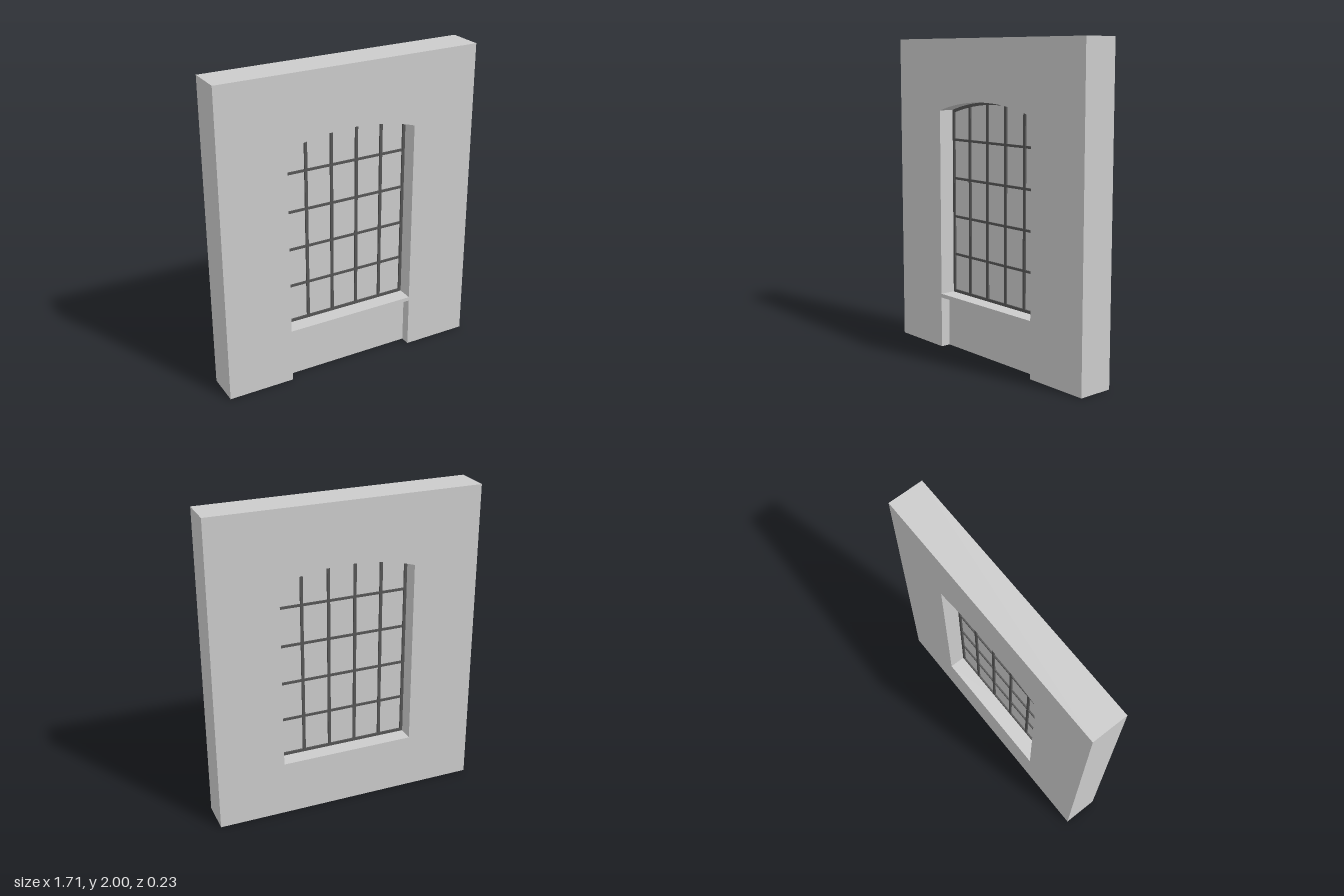
import * as THREE from 'three';
import { toCreasedNormals } from 'three/addons/utils/BufferGeometryUtils.js';

const W = 0.857, H = 2, D = 0.113;            // wall half width, height, half depth
const HW = 0.43, SILL = 0.355, SPRING = 1.55; // window half width, sill top, arch spring
const CROWN = 1.615, BAR = 0.018, BAR_DEPTH = 0.024;
const RISE = CROWN - SPRING;
const R = (HW * HW + RISE * RISE) / (2 * RISE), CY = CROWN - R;

const grey = new THREE.MeshStandardMaterial({ color: 0xcccccc });
const dark = new THREE.MeshStandardMaterial({ color: 0x555555 });

const archY = (x, r = R) => CY + Math.sqrt(r * r - x * x);

// Adds a segmental-arched outline, with an optional inset, to a path
function archOutline(path, bottom, inset = 0) {
  const w = HW - inset, r = R - inset, a = Math.asin(w / r);
  path.moveTo(-w, bottom);
  path.lineTo(w, bottom);
  path.lineTo(w, archY(w, r));
  path.absarc(0, CY, r, Math.PI / 2 - a, Math.PI / 2 + a, false);
  path.closePath();
  return path;
}

function extrude(shape, depth) {
  const g = new THREE.ExtrudeGeometry(shape, { depth, bevelEnabled: false, curveSegments: 32 });
  g.translate(0, 0, -depth / 2);
  return toCreasedNormals(g, 0.5);
}

function add(parent, name, geometry, material) {
  const mesh = new THREE.Mesh(geometry, material);
  mesh.name = name;
  parent.add(mesh);
  return mesh;
}

export function createModel() {
  const model = new THREE.Group();
  model.name = 'wallWithWindow';

  // Wall, open from the floor to the arch
  const a = Math.asin(HW / R);
  const wall = new THREE.Shape();
  wall.moveTo(-W, 0);
  wall.lineTo(-HW, 0);
  wall.lineTo(-HW, SPRING);
  wall.absarc(0, CY, R, Math.PI / 2 + a, Math.PI / 2 - a, true);
  wall.lineTo(HW, 0);
  wall.lineTo(W, 0);
  wall.lineTo(W, H);
  wall.lineTo(-W, H);
  wall.closePath();
  add(model, 'wall', extrude(wall, 2 * D), grey);

  // Recessed apron with the sill overhanging it at the front
  const recess = 0.05;
  const profile = new THREE.Shape([
    [D, 0], [D, SILL], [-D, SILL], [-D, 0.33], [-recess, 0.33], [-recess, 0],
  ].map(([x, y]) => new THREE.Vector2(x, y)));
  add(model, 'apronAndSill', extrude(profile, 2 * HW).rotateY(Math.PI / 2), grey);

  // Window frame following the arch
  const win = new THREE.Group();
  win.name = 'window';
  model.add(win);
  const frame = archOutline(new THREE.Shape(), SILL);
  frame.holes.push(archOutline(new THREE.Path(), SILL + BAR, BAR));
  add(win, 'frame', extrude(frame, BAR_DEPTH), dark);

  // Upright glazing bars
  for (const x of [-0.258, -0.086, 0.086, 0.258]) {
    const top = archY(x) - BAR / 2, h = top - SILL;
    add(win, 'mullion', new THREE.BoxGeometry(BAR, h, BAR_DEPTH), dark)
      .position.set(x, SILL + h / 2, 0);
  }

  // Level glazing bars
  for (let i = 0; i < 4; i++) {
    add(win, 'transom', new THREE.BoxGeometry(2 * HW - BAR, BAR - 0.003, BAR_DEPTH - 0.002), dark)
      .position.set(0, 0.61 + 0.25 * i, 0);
  }

  // Glass
  add(win, 'glass', extrude(archOutline(new THREE.Shape(), SILL + BAR / 2, BAR / 2), 0.004), grey);

  return model;
}
